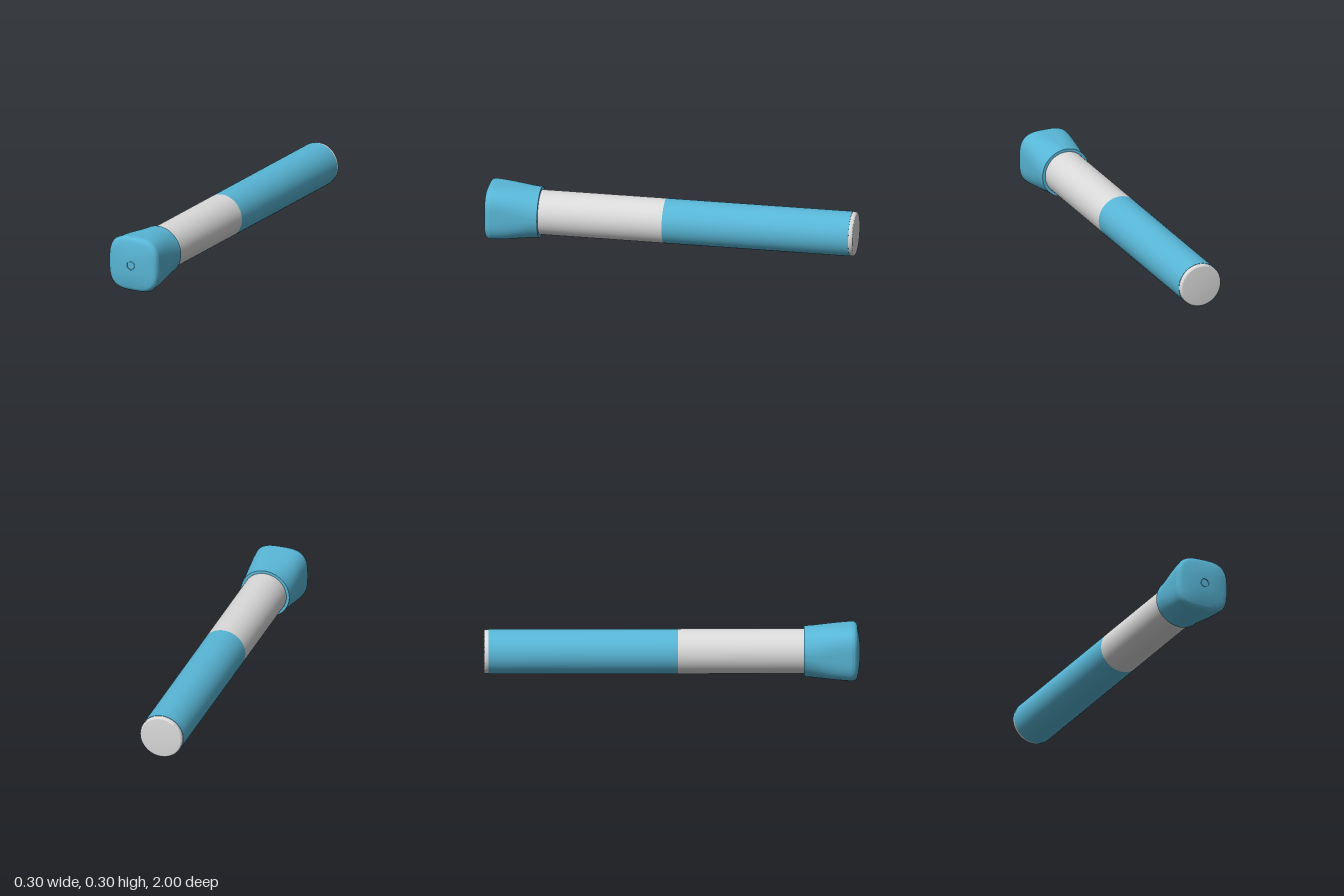
import * as THREE from 'three';
import { toCreasedNormals } from 'three/addons/utils/BufferGeometryUtils.js';

const AXIS_Y = 0.152;

// Skin over superellipse sections [z, half width, exponent], running along +z
function loft(sections, sides) {
  const pos = [], index = [];
  for (const [z, half, n] of sections) {
    for (let j = 0; j < sides; j++) {
      const t = (j / sides) * Math.PI * 2, c = Math.cos(t), s = Math.sin(t);
      const r = half / Math.pow(Math.abs(c) ** n + Math.abs(s) ** n, 1 / n);
      pos.push(r * c, r * s, z);
    }
  }
  for (let i = 0; i < sections.length - 1; i++) {
    for (let j = 0; j < sides; j++) {
      const a = i * sides + j, b = i * sides + (j + 1) % sides;
      index.push(a, b, b + sides, a, b + sides, a + sides);
    }
  }
  const g = new THREE.BufferGeometry();
  g.setAttribute('position', new THREE.Float32BufferAttribute(pos, 3));
  g.setIndex(index);
  return toCreasedNormals(g, 0.6);
}

export function createModel() {
  const blue = new THREE.MeshStandardMaterial({ color: 0x58b6d6 });
  blue.name = 'blue';
  const grey = new THREE.MeshStandardMaterial({ color: 0xdadada });
  grey.name = 'light grey';

  const model = new THREE.Group();
  model.name = 'handle';
  const add = (name, geometry, material) => {
    const mesh = new THREE.Mesh(geometry, material);
    mesh.name = name;
    mesh.position.y = AXIS_Y;
    model.add(mesh);
  };
  const tube = (z0, z1, r, open) =>
    new THREE.CylinderGeometry(r, r, z1 - z0, 64, 1, open)
      .rotateX(Math.PI / 2).translate(0, 0, (z0 + z1) / 2);

  // Bare shaft and coloured grip meet flush
  add('shaft', tube(0.03, 0.72, 0.12, true), grey);
  add('grip', tube(-0.977, 0.03, 0.12, false), blue);

  // End cap with a rounded rim
  const rim = [[-1, 0], [-1, 0.108]];
  for (let i = 1; i <= 6; i++) {
    const a = (i / 6) * Math.PI / 2;
    rim.push([-0.99 - 0.01 * Math.cos(a), 0.108 + 0.01 * Math.sin(a)]);
  }
  rim.push([-0.975, 0.118]);
  const cap = new THREE.LatheGeometry(rim.map(([z, r]) => new THREE.Vector2(r, z)), 64);
  add('endCap', toCreasedNormals(cap.rotateX(Math.PI / 2), 0.6), grey);

  // Head: round collar flaring into a soft square
  const sections = [[0.70, 0.118, 2], [0.70, 0.136, 2]];
  for (let i = 1; i <= 10; i++) {
    const k = i / 10;
    sections.push([0.70 + 0.25 * k, 0.136 + 0.013 * k, 2 + 1.2 * k * k * (3 - 2 * k)]);
  }
  // Rounded front edge
  for (let i = 1; i <= 8; i++) {
    const a = (i / 8) * 1.35;
    sections.push([0.955 + 0.03 * Math.sin(a), 0.122 + 0.028 * Math.cos(a), 3.2]);
  }
  // Slightly domed face running in to the round recess
  for (let i = 1; i <= 6; i++) {
    const k = i / 6;
    sections.push([0.9843 + 0.0137 * (1 - (1 - k) ** 2), 0.128 - 0.104 * k, 3.2 - 1.2 * k]);
  }
  sections.push([0.993, 0.0235, 2], [0.993, 0.021, 2]);
  add('head', loft(sections, 96), blue);

  // Raised button in the recess
  add('button', tube(0.985, 0.997, 0.021, false), blue);
  return model;
}
